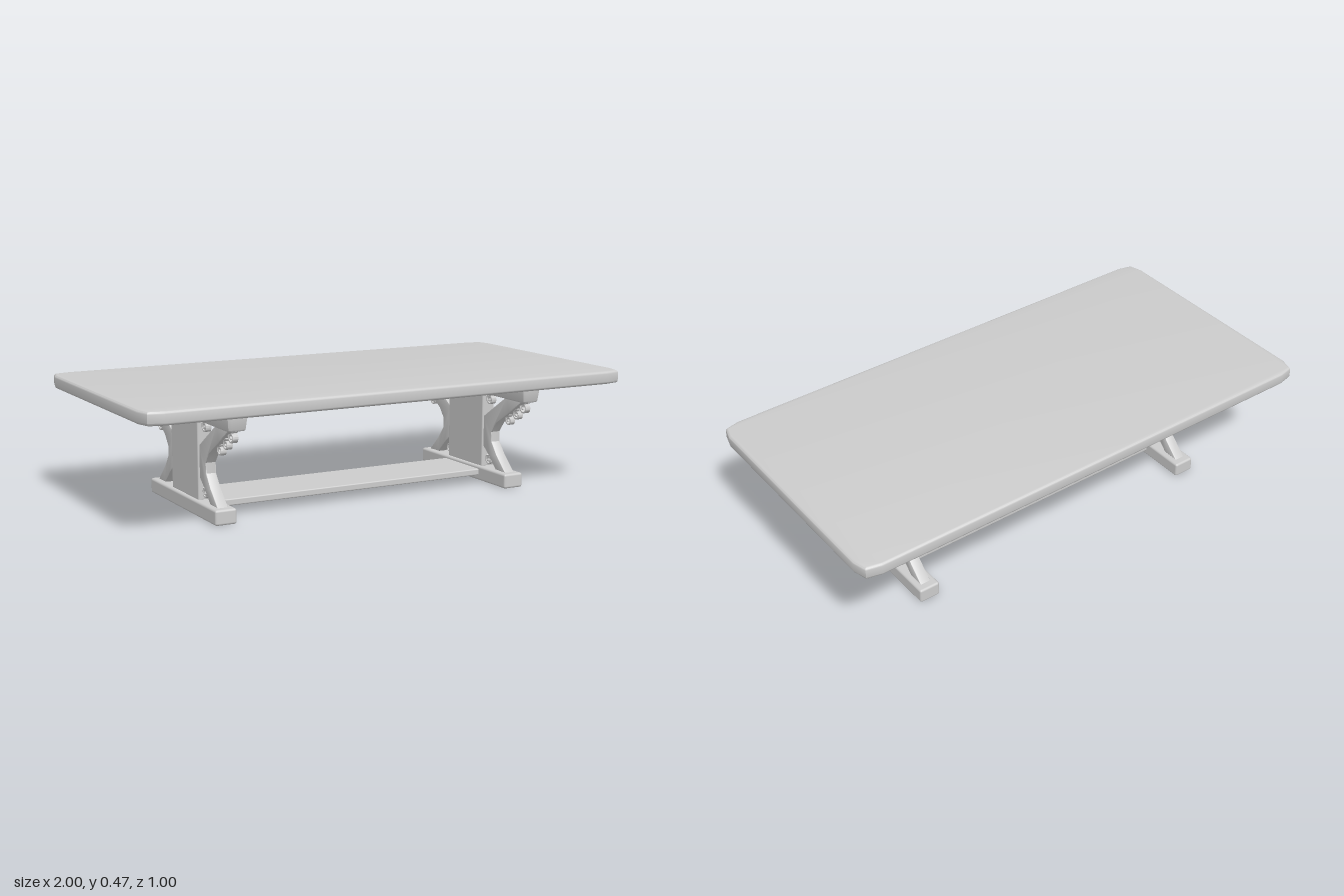
import * as THREE from 'three';
import { toCreasedNormals } from 'three/addons/utils/BufferGeometryUtils.js';
import { RoundedBoxGeometry } from 'three/addons/geometries/RoundedBoxGeometry.js';

const material = new THREE.MeshStandardMaterial({ color: 0xcccccc });
const LEG_X = 0.623;

function addMesh(parent, name, geometry, x = 0, y = 0, z = 0) {
  const mesh = new THREE.Mesh(geometry, material);
  mesh.name = name;
  mesh.position.set(x, y, z);
  parent.add(mesh);
  return mesh;
}

// Box softened along every edge
const softBox = (w, h, d, r) => new RoundedBoxGeometry(w, h, d, 2, r);

// Horizontal slab with clipped corners and bevelled rims, base at y = 0;
// its underside is drawn in by taper
function slab(hx, hz, height, cx, cz, bevel, taper = 0) {
  const x = hx - bevel, z = hz - bevel;
  const corner = [[x, z - cz], [x - cx * 0.2, z - cz * 0.2], [x - cx, z]];
  const reversed = [...corner].reverse();
  const outline = [
    ...corner,
    ...reversed.map(([a, b]) => [-a, b]),
    ...corner.map(([a, b]) => [-a, -b]),
    ...reversed.map(([a, b]) => [a, -b]),
  ].map(([a, b]) => new THREE.Vector2(a, b));
  const geometry = new THREE.ExtrudeGeometry(new THREE.Shape(outline), {
    depth: height - 2 * bevel, bevelThickness: bevel, bevelSize: bevel, bevelSegments: 3,
  });
  geometry.translate(0, 0, bevel).rotateX(-Math.PI / 2);
  const p = geometry.attributes.position;
  for (let i = 0; i < p.count; i++) {
    const inset = taper * (1 - p.getY(i) / height);
    p.setX(i, p.getX(i) * (1 - inset / hx));
    p.setZ(i, p.getZ(i) * (1 - inset / hz));
  }
  return toCreasedNormals(geometry, 0.6);
}

// Extrude a (z, y) outline along x, centred on x = 0
function sidePlate(points, thickness, bevel) {
  const shape = new THREE.Shape(points.map(([z, y]) => new THREE.Vector2(z, y)));
  const geometry = new THREE.ExtrudeGeometry(shape, {
    depth: thickness - 2 * bevel, bevelEnabled: bevel > 0,
    bevelThickness: bevel, bevelSize: bevel, bevelOffset: -bevel, bevelSegments: 2,
  });
  geometry.translate(0, 0, bevel - thickness / 2).rotateY(-Math.PI / 2);
  return toCreasedNormals(geometry, 0.6);
}

// Flat ribbon curling inwards; dir mirrors the curl
function scroll(radius, start, dir) {
  const outer = [], inner = [], steps = 26, t = 0.0025;
  for (let i = 0; i <= steps; i++) {
    const u = i / steps;
    const a = start + u * Math.PI * 3.3;
    const r = radius * (1 - 0.8 * u);
    outer.push([dir * (r + t) * Math.cos(a), (r + t) * Math.sin(a)]);
    inner.push([dir * (r - t) * Math.cos(a), (r - t) * Math.sin(a)]);
  }
  return sidePlate([...outer, ...inner.reverse()], 0.022, 0);
}

const braceOutline = [
  [0.395, 0.365], [0.3, 0.302], [0.21, 0.247], [0.178, 0.206], [0.18, 0.166],
  [0.217, 0.118], [0.28, 0.058], [0.213, 0.058], [0.165, 0.105], [0.12, 0.142],
  [0.12, 0.262], [0.19, 0.308], [0.28, 0.365],
];

// z, y, radius, start angle of each curl
const scrolls = [
  [0.378, 0.333, 0.026, 0.9], [0.332, 0.299, 0.022, 1.2], [0.28, 0.269, 0.022, 1.2],
  [0.147, 0.333, 0.021, 2.2], [0.147, 0.087, 0.021, 2.2],
];

function createTrestle() {
  const trestle = new THREE.Group();
  addMesh(trestle, 'foot', softBox(0.085, 0.058, 0.62, 0.009), 0, 0.029, 0);
  addMesh(trestle, 'post', softBox(0.056, 0.33, 0.25, 0.006), 0, 0.22, 0);
  addMesh(trestle, 'crossBeam', slab(0.043, 0.42, 0.064, 0.012, 0.012, 0.006, 0.008), 0, 0.358, 0);
  for (const side of [1, -1]) {
    const label = side > 0 ? 'front' : 'back';
    const outline = braceOutline.map(([z, y]) => [side * z, y]);
    addMesh(trestle, label + 'Brace', sidePlate(outline, 0.042, 0.004));
    for (const [z, y, r, start] of scrolls) {
      addMesh(trestle, label + 'Scroll', scroll(r, start, side), 0, y, side * z);
    }
  }
  return trestle;
}

export function createModel() {
  const table = new THREE.Group();
  table.name = 'trestleTable';

  addMesh(table, 'tableTop', slab(1, 0.5, 0.05, 0.065, 0.06, 0.01), 0, 0.42, 0);
  addMesh(table, 'centreBeam', slab(0.755, 0.13, 0.05, 0.03, 0.02, 0.006, 0.012), 0, 0.372, 0);
  addMesh(table, 'stretcher', softBox(1.22, 0.026, 0.25, 0.005), 0, 0.034, 0);

  // A trestle at each end
  for (const side of [1, -1]) {
    const trestle = createTrestle();
    trestle.name = side > 0 ? 'leftTrestle' : 'rightTrestle';
    trestle.position.x = side * LEG_X;
    table.add(trestle);
  }
  return table;
}
